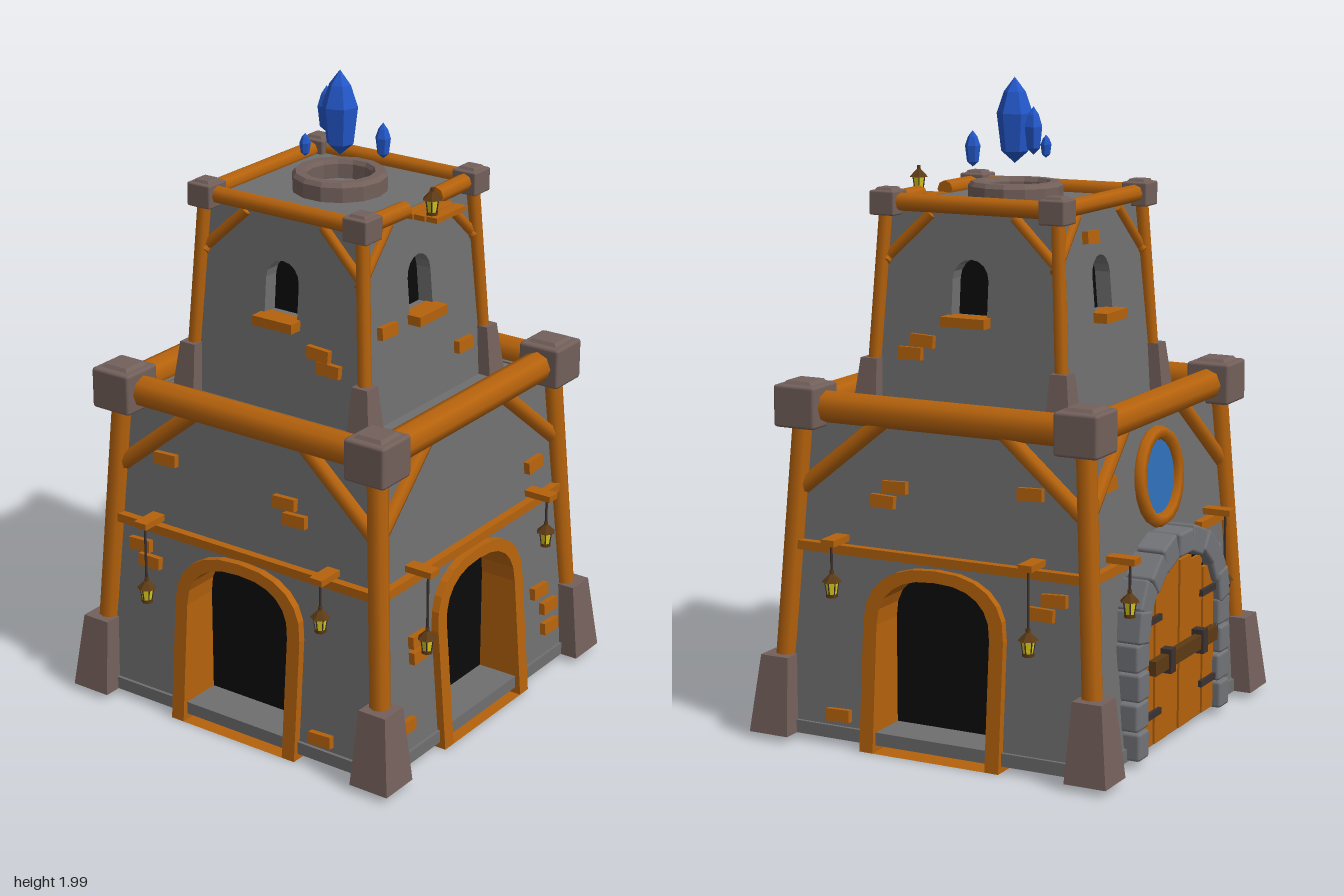
import * as THREE from 'three';
import { RoundedBoxGeometry } from 'three/addons/geometries/RoundedBoxGeometry.js';

const paint = (name, color) => Object.assign(new THREE.MeshStandardMaterial({ color }), { name });
const WOOD = paint('wood', 0xb5620c), WALL = paint('plaster', 0x6f6f6f), CAP = paint('cornerStone', 0x73605b);
const DARK = paint('darkInterior', 0x0b0b0b), STONE = paint('archStone', 0x727377), IRON = paint('iron', 0x3b3230);
const GLOW = paint('lanternGlass', 0xdccb1c), CRYSTAL = paint('crystal', 0x2357c9), GLASS = paint('windowGlass', 0x2f6fb8);
const ROOF = paint('lanternRoof', 0x5c3a14);

const V = (x, y, z) => new THREE.Vector3(x, y, z);
function add(parent, name, geo, mat, x = 0, y = 0, z = 0) {
  const m = new THREE.Mesh(geo, mat);
  m.name = name;
  m.position.set(x, y, z);
  parent.add(m);
  return m;
}
const box = (w, h, d) => new THREE.BoxGeometry(w, h, d);
function flat(geo) {
  const g = geo.index ? geo.toNonIndexed() : geo;
  g.computeVertexNormals();
  return g;
}
// Round beam between two points
function beam(parent, name, a, b, r, mat = WOOD) {
  const m = add(parent, name, new THREE.CylinderGeometry(r, r, a.distanceTo(b), 8), mat);
  m.position.copy(a).lerp(b, 0.5);
  m.quaternion.setFromUnitVectors(V(0, 1, 0), b.clone().sub(a).normalize());
  return m;
}
// Square block whose top is narrower and shifted inwards along x and z
function taperBlock(w, h, topW, shift = 0) {
  const g = box(w, h, w), p = g.attributes.position;
  for (let i = 0; i < p.count; i++) if (p.getY(i) > 0) {
    p.setX(i, Math.sign(p.getX(i)) * topW / 2 - shift);
    p.setZ(i, Math.sign(p.getZ(i)) * topW / 2 - shift);
  }
  return flat(g);
}
// Arch outline: straight legs and a squarish round head
function archPoints(hw, base, spring, top, power = 2.4, n = 12) {
  const pts = [new THREE.Vector2(hw, base)];
  for (let i = 0; i <= n; i++) {
    const a = Math.PI * i / n, c = Math.cos(a), s = Math.sin(a);
    pts.push(new THREE.Vector2(Math.sign(c) * hw * Math.abs(c) ** (2 / power), spring + (top - spring) * s ** (2 / power)));
  }
  pts.push(new THREE.Vector2(-hw, base));
  return pts;
}
// Extrude an outline and lean it so it follows the wall slope
function leaning(shape, depth, back, half) {
  const g = new THREE.ExtrudeGeometry(shape, { depth, bevelEnabled: false }), p = g.attributes.position;
  for (let i = 0; i < p.count; i++) p.setZ(i, p.getZ(i) + back + half(p.getY(i)));
  g.computeVertexNormals();
  return g;
}
const lower = y => 0.535 - (y - 0.07) * 0.08;
const upper = y => 0.325 - (y - 1.0) * 0.085;

function wall(parent, name, half, y0, y1, hole) {
  const s = new THREE.Shape([[-half(y0), y0], [half(y0), y0], [half(y1), y1], [-half(y1), y1]].map(p => new THREE.Vector2(...p)));
  if (hole) s.holes.push(new THREE.Path(hole));
  add(parent, name, leaning(s, 0.05, -0.05, half), WALL);
}

function lantern(parent, x, y, z, rodTop) {
  const g = new THREE.Group();
  g.name = 'lantern';
  g.position.set(x, y, z);
  parent.add(g);
  add(g, 'lanternBase', new THREE.CylinderGeometry(0.018, 0.018, 0.01, 6), ROOF, 0, 0.005);
  add(g, 'lanternGlass', flat(new THREE.CylinderGeometry(0.021, 0.015, 0.04, 6)), GLOW, 0, 0.03);
  for (let i = 0; i < 6; i++) {
    const a = i * Math.PI / 3;
    beam(g, 'lanternBar', V(Math.sin(a) * 0.015, 0.01, Math.cos(a) * 0.015), V(Math.sin(a) * 0.021, 0.05, Math.cos(a) * 0.021), 0.002, IRON);
  }
  add(g, 'lanternRoof', flat(new THREE.CylinderGeometry(0.007, 0.031, 0.024, 6)), ROOF, 0, 0.06);
  add(g, 'lanternKnob', new THREE.CylinderGeometry(0.007, 0.007, 0.012, 6), ROOF, 0, 0.077);
  if (rodTop) beam(g, 'lanternRod', V(0, 0.08, 0), V(0, rodTop - y, 0), 0.004, IRON);
}

function bricks(parent, half, list) {
  list.forEach(([x, y]) => {
    const m = add(parent, 'brick', box(0.08, 0.038, 0.03), WOOD, x, y, half(y) + 0.005);
    m.rotation.set(-0.08, 0, Math.sin(x * 40 + y * 9) * 0.05);
  });
}

// Planked back door with stone surround and round window
function backDoor(f) {
  for (let i = 0; i < 6; i++) {
    const x = (i - 2.5) * 0.088, h = 0.37 + 0.2 * Math.sqrt(1 - (x / 0.3) ** 2);
    add(f, 'doorPlank', box(0.082, h - 0.04, 0.06), WOOD, x, 0.04 + (h - 0.04) / 2, 0.525 + (i % 2) * 0.004);
  }
  add(f, 'doorBacking', new THREE.ShapeGeometry(new THREE.Shape(archPoints(0.28, 0.04, 0.36, 0.6, 2))), DARK, 0, 0, 0.545);
  add(f, 'doorBar', box(0.46, 0.045, 0.025), ROOF, 0, 0.29, 0.575);
  [-0.12, 0.12].forEach(x => add(f, 'barBracket', box(0.035, 0.075, 0.04), IRON, x, 0.29, 0.575));
  for (const s of [-1, 1]) {
    [0.14, 0.43].forEach(y => add(f, 'hinge', box(0.12, 0.02, 0.012), IRON, s * 0.21, y, 0.564));
    for (let i = 0; i < 4; i++)
      add(f, 'jambStone', new RoundedBoxGeometry(0.075 + (i % 2) * 0.012, 0.086, 0.1, 1, 0.01), STONE, s * 0.3, 0.075 + i * 0.09, 0.535 - (i % 2) * 0.004);
  }
  for (let i = 0; i < 9; i++) {
    const a = Math.PI * (i + 0.5) / 9;
    const m = add(f, 'archStone', new RoundedBoxGeometry(0.075 + (i % 2) * 0.01, 0.1, 0.12, 1, 0.01), STONE,
      Math.cos(a) * 0.295, 0.39 + Math.sin(a) * 0.235, 0.525 - (i % 2) * 0.005);
    m.rotation.z = a;
  }
  const w = new THREE.Group();
  w.name = 'roundWindow';
  w.position.set(0, 0.82, lower(0.82) + 0.01);
  w.rotation.x = -0.08;
  f.add(w);
  add(w, 'roundWindowFrame', new THREE.TorusGeometry(0.134, 0.022, 6, 20), WOOD);
  add(w, 'roundWindowGlass', new THREE.CircleGeometry(0.125, 20), GLASS);
}

// One side of the tower; local +z points outwards
function side(root, name, k, o) {
  const f = new THREE.Group();
  f.name = name;
  f.rotation.y = k * Math.PI / 2;
  root.add(f);
  const back = k === 2;
  wall(f, 'lowerWall', lower, 0.05, 1.02, back ? null : archPoints(0.2, 0.07, 0.4, 0.56));
  if (back) backDoor(f);
  else {
    const s = new THREE.Shape(archPoints(0.236, 0.01, 0.4, 0.585));
    s.holes.push(new THREE.Path(archPoints(0.19, 0.0101, 0.4, 0.55)));
    add(f, 'doorFrame', leaning(s, 0.15, -0.125, lower), WOOD);
    add(f, 'doorwayDark', new THREE.PlaneGeometry(0.46, 0.53), DARK, 0, 0.335, 0.412);
  }
  // Upper window
  wall(f, 'upperWall', upper, 1.0, 1.63, archPoints(0.06, 1.31, 1.42, 1.48, 2, 8));
  add(f, 'windowDark', new THREE.PlaneGeometry(0.2, 0.25), DARK, 0, 1.4, 0.235);
  add(f, 'windowSill', box(0.145, 0.03, 0.07), WOOD, 0, 1.298, upper(1.3) + 0.01);
  // Trim rail, lantern arms and braces
  const ty = 0.612, tz = lower(ty) + 0.005;
  if (back) for (const s of [-1, 1]) add(f, 'trimRail', box(0.22, 0.028, 0.04), WOOD, s * 0.37, ty, tz);
  else add(f, 'trimRail', box(0.96, 0.028, 0.04), WOOD, 0, ty, tz);
  for (const s of [-1, 1]) {
    const x = s * (back ? 0.35 : 0.33);
    add(f, 'lanternArm', box(0.045, 0.02, 0.12), WOOD, x, 0.645, 0.52);
    lantern(f, x, s === o.high ? 0.475 : 0.38, 0.556, 0.64);
    beam(f, 'lowerBrace', V(s * 0.48, 0.78, lower(0.78)), V(s * 0.2, 1.01, lower(1.01)), 0.026);
    beam(f, 'upperBrace', V(s * 0.3, 1.46, upper(1.46)), V(s * 0.14, 1.61, upper(1.61)), 0.017);
  }
  beam(f, 'lowerTopBeam', V(-0.42, 1.035, 0.465), V(0.42, 1.035, 0.465), 0.049);
  if (k === 0) for (const s of [-1, 1]) beam(f, 'brokenTopBeam', V(s * 0.26, 1.64, 0.285), V(s * 0.08, 1.64, 0.29), 0.027);
  else beam(f, 'upperTopBeam', V(-0.26, 1.64, 0.285), V(0.26, 1.64, 0.285), 0.027);
  bricks(f, lower, o.low);
  bricks(f, upper, o.up);
}

export function createModel() {
  const root = new THREE.Group();
  root.name = 'tower';
  add(root, 'floorSlab', box(1.09, 0.04, 1.09), WALL, 0, 0.05);
  add(root, 'terrace', box(0.92, 0.03, 0.92), WALL, 0, 1.0);
  add(root, 'roof', box(0.53, 0.03, 0.53), WALL, 0, 1.615);

  const rLow = [[-0.32, 0.105], [-0.19, 0.77], [-0.15, 0.815], [0.3, 0.84], [0.39, 0.54], [0.35, 0.495]];
  const rUp = [[-0.19, 1.19], [-0.15, 1.23]];
  const flip = list => list.map(([x, y]) => [-x, y]);
  side(root, 'frontSide', 0, { high: 1, up: [[-0.19, 1.3], [0.2, 1.14]],
    low: [[-0.41, 0.16], [-0.32, 0.36], [-0.32, 0.41], [0.35, 0.73], [0.35, 0.3], [0.4, 0.23], [0.4, 0.16]] });
  side(root, 'plusXSide', 1, { high: -1, low: rLow, up: rUp });
  side(root, 'backSide', 2, { high: -1, low: [[-0.34, 0.86]], up: [[-0.07, 1.54]] });
  side(root, 'minusXSide', 3, { high: 1, low: flip(rLow), up: flip(rUp) });

  // Corner feet, posts and cap blocks
  for (let k = 0; k < 4; k++) {
    const c = new THREE.Group();
    c.name = 'corner';
    c.rotation.y = k * Math.PI / 2;
    root.add(c);
    add(c, 'lowerFoot', taperBlock(0.134, 0.24, 0.094, 0.008), CAP, 0.535, 0.15, 0.535);
    beam(c, 'lowerPost', V(0.522, 0.2, 0.522), V(0.472, 1.02, 0.472), 0.032);
    add(c, 'lowerCapBlock', new RoundedBoxGeometry(0.142, 0.13, 0.142, 1, 0.01), CAP, 0.468, 1.037, 0.468);
    add(c, 'lowerCapTop', taperBlock(0.1, 0.012, 0.08), CAP, 0.468, 1.106, 0.468);
    add(c, 'upperFoot', taperBlock(0.082, 0.16, 0.055, 0.006), CAP, 0.325, 1.09, 0.325);
    beam(c, 'upperPost', V(0.317, 1.12, 0.317), V(0.287, 1.63, 0.287), 0.021);
    add(c, 'upperCapBlock', new RoundedBoxGeometry(0.085, 0.074, 0.085, 1, 0.006), CAP, 0.283, 1.637, 0.283);
    add(c, 'upperCapTop', taperBlock(0.06, 0.01, 0.048), CAP, 0.283, 1.677, 0.283);
  }

  // Small plank ledge with a standing lantern
  for (let i = 0; i < 3; i++) add(root, 'ledgePlank', box(0.155, 0.016, 0.037), WOOD, (i - 1) * 0.004, 1.623, 0.3 + i * 0.04);
  lantern(root, -0.048, 1.63, 0.365);

  // Crystal ring
  const ring = [[0.1, 1.62], [0.145, 1.62], [0.145, 1.675], [0.135, 1.688], [0.108, 1.688], [0.1, 1.675], [0.1, 1.62]];
  add(root, 'crystalRing', flat(new THREE.LatheGeometry(ring.map(p => new THREE.Vector2(...p)), 14)), CAP);

  // Floating crystals: x, z, bottom, top, radius
  [[-0.013, 0.01, 1.74, 2.0, 0.056], [0.058, -0.09, 1.775, 1.92, 0.03], [-0.11, -0.047, 1.75, 1.82, 0.017], [0.057, 0.117, 1.73, 1.84, 0.024]]
    .forEach(([x, z, y0, y1, r], i) => {
      const h = y1 - y0, pts = [[0, 0], [r * 0.75, h * 0.14], [r, h * 0.58], [r * 0.6, h * 0.83], [0, h]];
      const m = add(root, 'crystal', flat(new THREE.LatheGeometry(pts.map(p => new THREE.Vector2(...p)), 6)), CRYSTAL, x, y0, z);
      m.rotation.y = i * 0.7 + 0.3;
    });
  return root;
}
